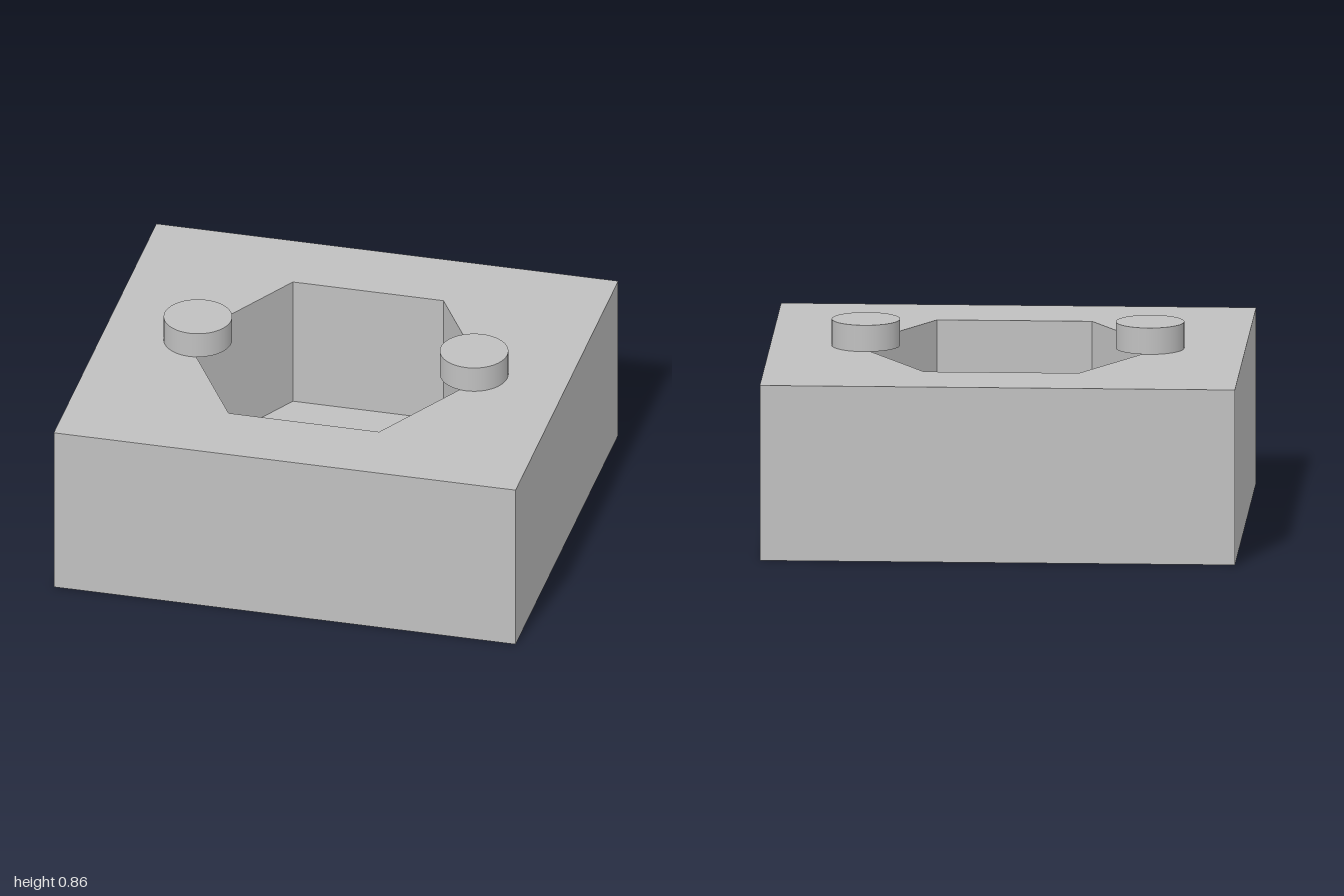
import * as THREE from 'three';

const WIDTH = 2, DEPTH = 1.8, HEIGHT = 0.75;
const FLOOR = 0.17;          // thickness under the hexagonal pocket
const HEX_RADIUS = 0.652, BORE_RADIUS = 0.341;
const PEG_RADIUS = 0.144, PEG_HEIGHT = 0.113, PEG_X = 0.598;

// Rectangular slab with one opening, extruded upwards from y = bottom
function slab(opening, bottom, top) {
  const w = WIDTH / 2, d = DEPTH / 2;
  const shape = new THREE.Shape([
    new THREE.Vector2(-w, -d), new THREE.Vector2(w, -d),
    new THREE.Vector2(w, d), new THREE.Vector2(-w, d),
  ]);
  shape.holes.push(opening);
  const geometry = new THREE.ExtrudeGeometry(shape, {
    depth: top - bottom, bevelEnabled: false, curveSegments: 64,
  });
  return geometry.rotateX(-Math.PI / 2).translate(0, bottom, 0);
}

export function createModel() {
  const model = new THREE.Group();
  model.name = 'nutHolderBlock';
  const grey = new THREE.MeshStandardMaterial({ color: 0xc0c0c0 });
  grey.name = 'grey';

  const add = (name, geometry) => {
    const mesh = new THREE.Mesh(geometry, grey);
    mesh.name = name;
    model.add(mesh);
    return mesh;
  };

  // Floor plate with the round through hole
  const bore = new THREE.Path().absarc(0, 0, BORE_RADIUS, 0, Math.PI * 2, true);
  const plate = slab(bore, 0, FLOOR);
  smoothBore(plate);
  add('floorPlate', plate);

  // Upper body with the hexagonal pocket, corners pointing along x
  const corners = [];
  for (let i = 0; i < 6; i++) {
    const a = -i * Math.PI / 3;
    corners.push(new THREE.Vector2(HEX_RADIUS * Math.cos(a), HEX_RADIUS * Math.sin(a)));
  }
  add('pocketBody', slab(new THREE.Path(corners), FLOOR, HEIGHT));

  // Pair of round pegs overhanging the pocket's side corners
  for (const side of [-1, 1]) {
    const peg = add(side > 0 ? 'leftPeg' : 'rightPeg',
      new THREE.CylinderGeometry(PEG_RADIUS, PEG_RADIUS, PEG_HEIGHT, 64));
    peg.position.set(side * PEG_X, HEIGHT + PEG_HEIGHT / 2, 0);
  }
  return model;
}

// Radial normals on the wall of the round hole
function smoothBore(geometry) {
  const p = geometry.attributes.position, n = geometry.attributes.normal;
  for (let i = 0; i < p.count; i++) {
    const r = Math.hypot(p.getX(i), p.getZ(i));
    if (r < BORE_RADIUS + 0.01 && Math.abs(n.getY(i)) < 0.5) {
      n.setXYZ(i, -p.getX(i) / r, 0, -p.getZ(i) / r);
    }
  }
}
